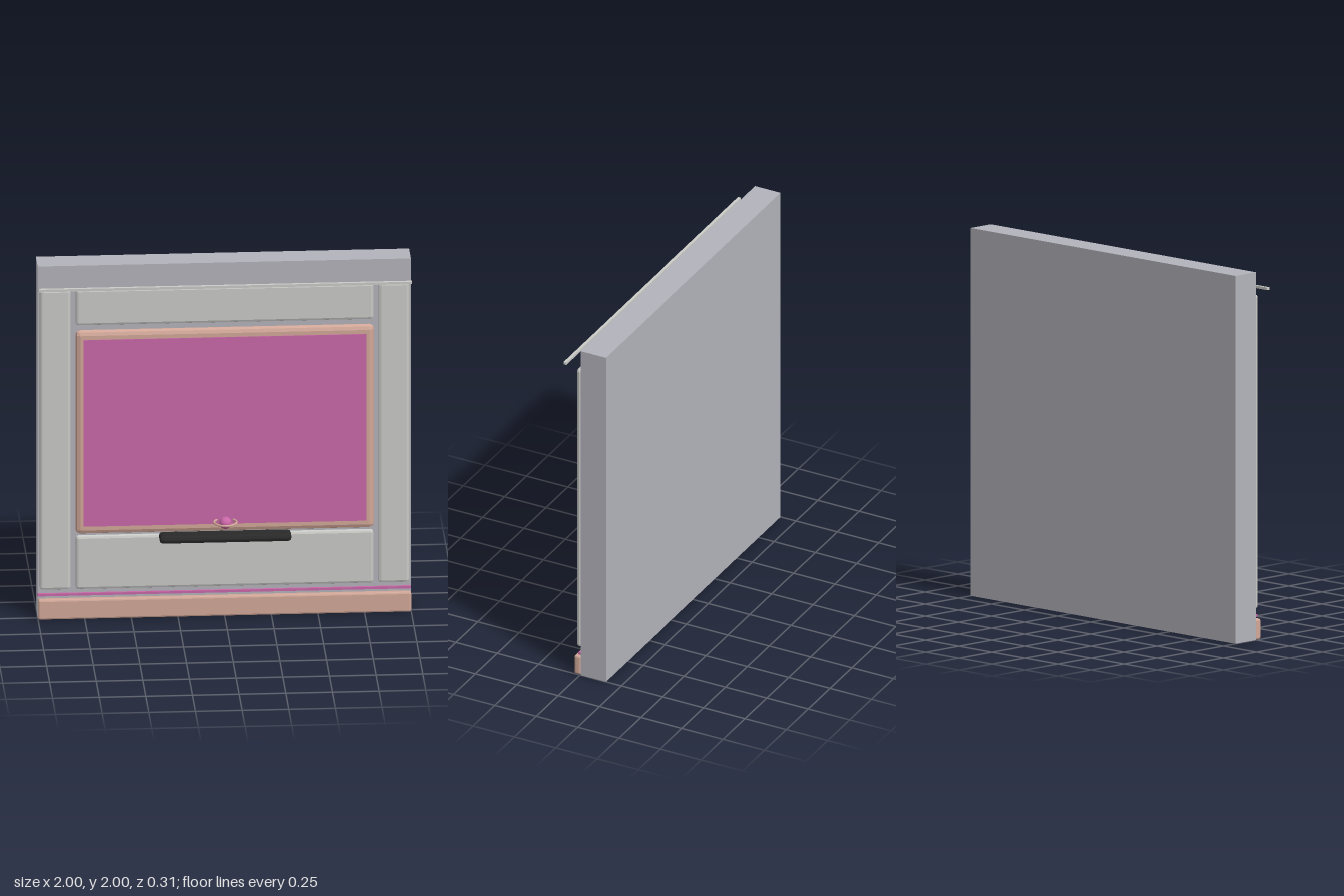
import * as THREE from 'three';
import { RoundedBoxGeometry } from 'three/addons/geometries/RoundedBoxGeometry.js';

function material(name, color, flatShading = false) {
  const m = new THREE.MeshStandardMaterial({ color, flatShading });
  m.name = name;
  return m;
}

export function createModel() {
  const group = new THREE.Group();
  const wallGrey = material('wall grey', 0xb3b3bb);
  const panelGrey = material('panel grey', 0xcacac7, true);
  const peach = material('peach trim', 0xd2a898, true);
  const pink = material('pink', 0xca67a8);
  const black = material('black', 0x2a2a2a, true);

  function add(name, geometry, mat, x, y, z) {
    const mesh = new THREE.Mesh(geometry, mat);
    mesh.name = name;
    mesh.position.set(x, y, z);
    group.add(mesh);
    return mesh;
  }

  // Box given by its limits; a radius bevels the edges
  function slab(name, mat, [x0, x1], [y0, y1], [z0, z1], radius = 0) {
    const size = [x1 - x0, y1 - y0, z1 - z0];
    const geometry = radius
      ? new RoundedBoxGeometry(...size, 1, radius)
      : new THREE.BoxGeometry(...size);
    return add(name, geometry, mat, (x0 + x1) / 2, (y0 + y1) / 2, (z0 + z1) / 2);
  }

  // Wall slab
  slab('wall', wallGrey, [-1, 1], [0, 2], [-0.157, -0.003]);

  // Raised wall panels around the screen
  const panelDepth = [-0.004, 0.029];
  slab('leftPanel', panelGrey, [0.824, 0.99], [0.165, 1.875], panelDepth, 0.015);
  slab('rightPanel', panelGrey, [-0.99, -0.824], [0.165, 1.875], panelDepth, 0.015);
  slab('upperPanel', panelGrey, [-0.798, 0.798], [1.667, 1.875], panelDepth, 0.015);
  slab('lowerPanel', panelGrey, [-0.798, 0.798], [0.165, 0.47], panelDepth, 0.015);

  // Framed screen
  slab('screenFrame', peach, [-0.8, 0.8], [0.485, 1.642], [-0.004, 0.05], 0.025);
  slab('screen', pink, [-0.757, 0.757], [0.533, 1.595], [0.046, 0.054]);

  // Skirting and accent strip
  slab('baseboard', peach, [-1, 1], [0, 0.113], [-0.003, 0.037], 0.01);
  slab('accentStrip', pink, [-1, 1], [0.126, 0.139], [-0.003, 0.011]);

  // Rail in front of the top edge
  slab('topRail', panelGrey, [-1, 1], [1.891, 1.905], [0.083, 0.1]);

  // Shelf with ball and ring
  slab('shelf', black, [-0.353, 0.353], [0.446, 0.488], [0.022, 0.124], 0.018);
  add('ball', new THREE.SphereGeometry(0.033, 24, 16), pink, 0, 0.552, 0.092);
  const ring = add('ring', new THREE.TorusGeometry(0.06, 0.006, 8, 40), peach, 0, 0.555, 0.092);
  ring.rotation.x = Math.PI / 2;

  return group;
}
